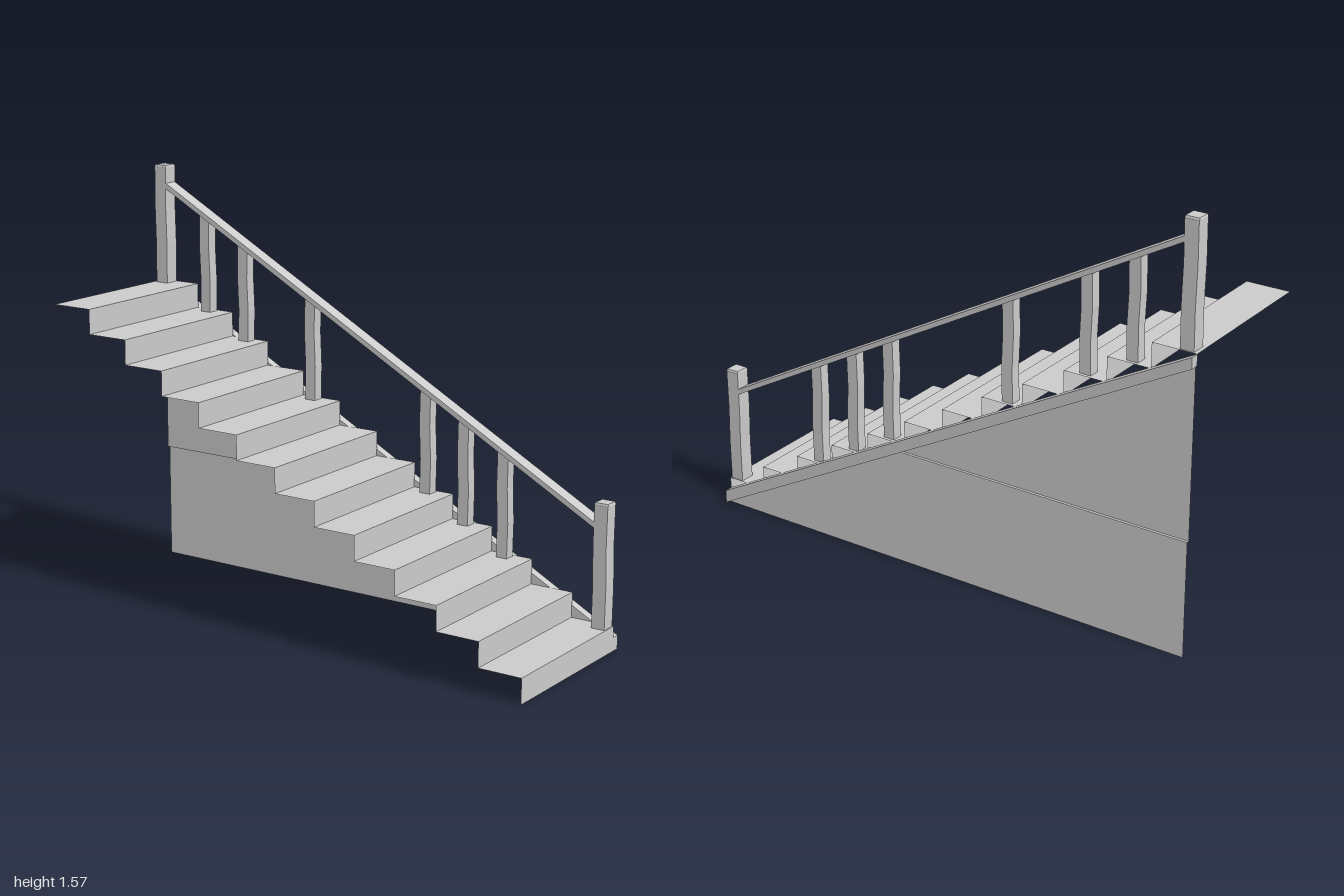
import * as THREE from 'three';

const STEPS = 12, HEIGHT = 1.112, RISE = HEIGHT / STEPS, RUN = 2 / STEPS;
const LEFT = 0.3, RIGHT = -0.333, RAIL_X = 0.266;

const material = new THREE.MeshStandardMaterial({ color: 0xcccccc, flatShading: true, side: THREE.DoubleSide });

function add(group, name, geometry) {
  const mesh = new THREE.Mesh(geometry, material);
  mesh.name = name;
  group.add(mesh);
  return mesh;
}

// Extrudes a side profile given as [z, y] points from x0 to x1.
function sideExtrude(points, x0, x1) {
  const shape = new THREE.Shape(points.map(([z, y]) => new THREE.Vector2(-z, y)));
  const geometry = new THREE.ExtrudeGeometry(shape, { depth: x1 - x0, bevelEnabled: false });
  return geometry.rotateY(Math.PI / 2).translate(x0, 0, 0);
}

// Flat upright panel from a side profile, facing +x.
function sidePanel(points, x) {
  const shape = new THREE.Shape(points.map(([z, y]) => new THREE.Vector2(-z, y)));
  return new THREE.ShapeGeometry(shape).rotateY(Math.PI / 2).translate(x, 0, 0);
}

// Strip of quads swept between x0 and x1 along a [z, y] path.
function foldedSheet(path, x0, x1) {
  const positions = [];
  for (let i = 0; i + 1 < path.length; i++) {
    const [za, ya] = path[i], [zb, yb] = path[i + 1];
    positions.push(x0, ya, za, x1, ya, za, x1, yb, zb, x0, ya, za, x1, yb, zb, x0, yb, zb);
  }
  const geometry = new THREE.BufferGeometry();
  geometry.setAttribute('position', new THREE.Float32BufferAttribute(positions, 3));
  geometry.computeVertexNormals();
  return geometry;
}

// Slightly bowed square post.
function post(width, depth, y0, y1, z, bow) {
  const geometry = new THREE.BoxGeometry(width, y1 - y0, depth, 1, 3, 1);
  const p = geometry.attributes.position;
  for (let i = 0; i < p.count; i++) {
    const t = p.getY(i) / (y1 - y0) + 0.5;
    p.setZ(i, p.getZ(i) + bow * Math.sin(t * Math.PI * 2));
  }
  geometry.computeVertexNormals();
  return geometry.translate(RAIL_X, (y0 + y1) / 2, z);
}

const treadHeight = (z) => (Math.floor((1 - z) / RUN) + 1) * RISE;
const railTop = (z) => 0.475 + (0.945 - z) * 0.544;

export function createModel() {
  const model = new THREE.Group();
  model.name = 'staircase';

  // Treads and risers as one folded sheet, open underneath
  const path = [[1, 0]];
  for (let i = 1; i <= STEPS; i++) {
    path.push([1 - (i - 1) * RUN, i * RISE], [1 - i * RUN, i * RISE]);
  }
  add(model, 'steps', foldedSheet(path, RIGHT, LEFT));

  // Sloping side board
  add(model, 'stringer', sideExtrude([[1, 0], [1, 0.05], [-1, HEIGHT], [-1, 1.07]], 0.297, 0.331));

  // Side wall with a slightly proud lower part
  const ledge = 0.44, ledgeZ = 1 - (2 * ledge) / 1.07;
  add(model, 'upperWall', sidePanel([[ledgeZ, ledge], [-1, ledge], [-1, 1.07]], 0.305));
  add(model, 'lowerWall', sidePanel([[1, 0], [-1, 0], [-1, ledge], [ledgeZ, ledge]], 0.315));
  add(model, 'wallLedge', foldedSheet([[ledgeZ, ledge], [-1, ledge]], 0.305, 0.315));

  // Newel posts with a small chamfered cap
  for (const [name, z] of [['frontNewel', 0.97], ['backNewel', -0.96]]) {
    const base = treadHeight(z), top = base + 0.446;
    const newel = new THREE.Group();
    newel.name = name;
    add(newel, 'shaft', post(0.057, 0.052, base, top, z, 0.002));
    const cap = new THREE.CylinderGeometry(0.05 / Math.SQRT2, 0.055 / Math.SQRT2, 0.008, 4);
    add(newel, 'cap', cap.rotateY(Math.PI / 4).translate(RAIL_X, top + 0.004, z));
    model.add(newel);
  }

  // Balusters
  for (const z of [0.572, 0.407, 0.245, -0.265, -0.575, -0.755]) {
    add(model, 'baluster', post(0.042, 0.044, treadHeight(z), railTop(z) - 0.012, z, 0.003));
  }

  // Handrail
  const z0 = 0.95, z1 = -0.94, thick = 0.021;
  add(model, 'handrail', sideExtrude([
    [z0, railTop(z0) - thick], [z0, railTop(z0)], [z1, railTop(z1)], [z1, railTop(z1) - thick],
  ], 0.239, 0.294));

  return model;
}
